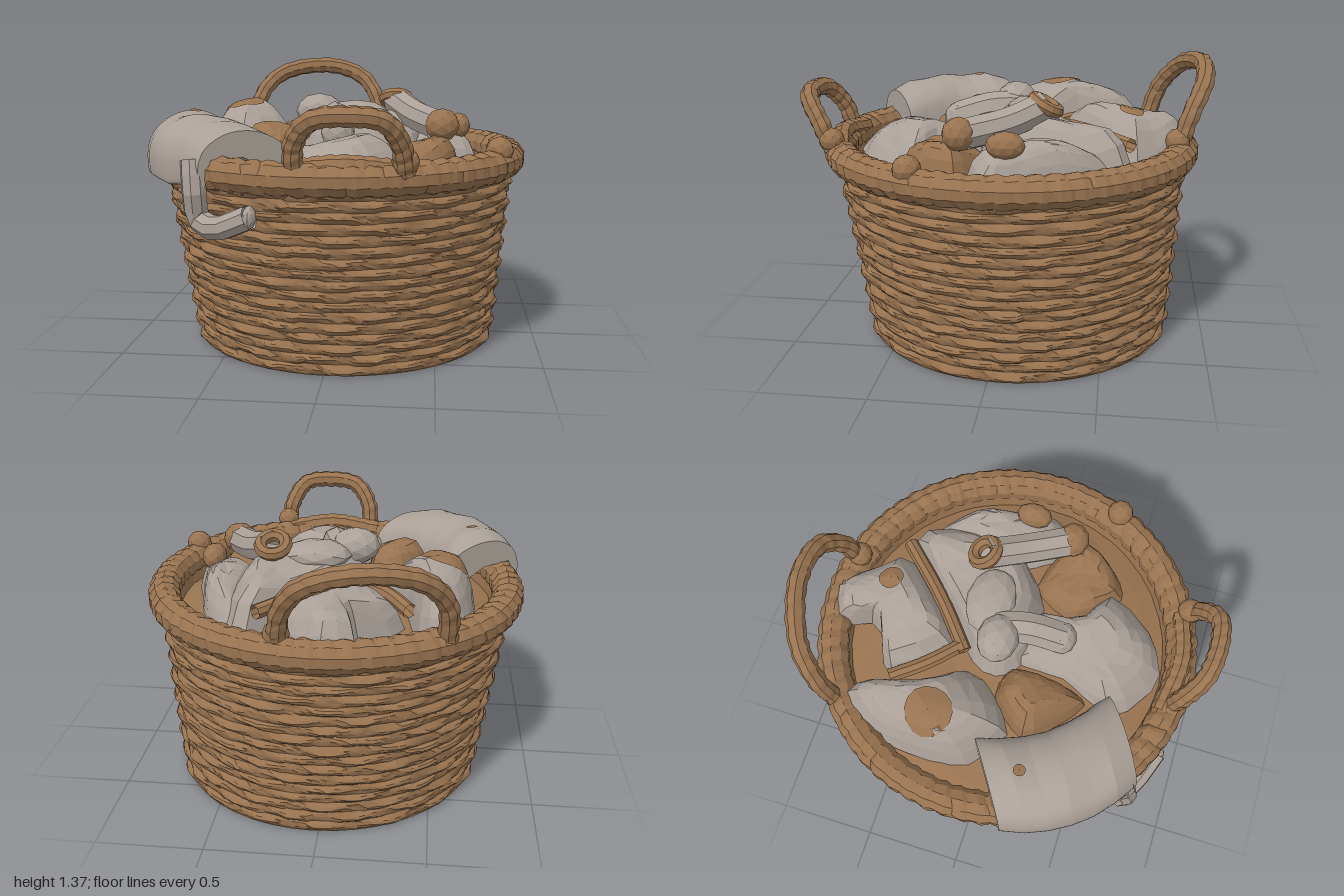
import * as THREE from 'three';
import { ParametricGeometry } from 'three/addons/geometries/ParametricGeometry.js';

const V = (x, y, z) => new THREE.Vector3(x, y, z);
const hash = (a, b) => { const s = Math.sin(a * 127.1 + b * 311.7) * 43758.5453; return s - Math.floor(s) - 0.5; };

export function createModel() {
  const model = new THREE.Group();
  const wicker = new THREE.MeshStandardMaterial({ color: 0x987350, flatShading: true, side: THREE.DoubleSide });
  const cloth = new THREE.MeshStandardMaterial({ color: 0xaaa098, flatShading: true, side: THREE.DoubleSide });
  wicker.name = 'wicker brown';
  cloth.name = 'cloth grey';

  const add = (name, geometry, material) => {
    const mesh = new THREE.Mesh(geometry, material);
    mesh.name = name;
    model.add(mesh);
    return mesh;
  };

  // Tube with shallow ridges like wound cane
  const woundTube = (points, seg, r, sides, wraps, closed = false) => {
    const curve = new THREE.CatmullRomCurve3(points, closed);
    const g = new THREE.TubeGeometry(curve, seg, r, sides, closed);
    const p = g.attributes.position, v = V(0, 0, 0);
    for (let i = 0; i < p.count; i++) {
      const ring = Math.floor(i / (sides + 1)), side = i % (sides + 1);
      const c = curve.getPointAt(closed ? (ring % seg) / seg : ring / seg);
      const phase = (ring / seg) * wraps * Math.PI + (side / sides) * Math.PI;
      const k = 0.9 + 0.12 * Math.abs(Math.sin(phase)) + 0.07 * hash(ring % seg, side % sides);
      v.fromBufferAttribute(p, i).sub(c).multiplyScalar(k).add(c);
      p.setXYZ(i, v.x, v.y, v.z);
    }
    g.computeVertexNormals();
    return g;
  };

  // Softly folded mound over an outline of [x, z] points
  const mound = (name, outline, base, top, material, rough = 0.02) => {
    const pts = outline.map(([x, z]) => new THREE.Vector2(x, -z));
    if (THREE.ShapeUtils.area(pts) < 0) pts.reverse();
    const curve = new THREE.CatmullRomCurve3(pts.map(p => V(p.x, 0, -p.y)), true, 'catmullrom', 0.35);
    const mid = pts.reduce((m, p) => m.add(V(p.x, 0, -p.y)), V(0, 0, 0)).divideScalar(pts.length);
    const n = 18, rings = 5;
    const g = new ParametricGeometry((u, v, out) => {
      const j = Math.round(u * n) % n, i = Math.round(v * rings);
      const t = Math.pow(1 - v, 0.6);
      out.copy(curve.getPoint(j / n)).sub(mid).multiplyScalar(t).add(mid);
      out.y = base + (top - base) * (1 - Math.pow(t, 5));
      if (i > 0) out.y += rough * (Math.sin(out.x * 15 + top * 30) + Math.cos(out.z * 13 + out.x * 6));
      if (i > 0 && i < rings) out.y += rough * t * hash(j + top * 10, i);
    }, n, rings);
    return add(name, g, material);
  };

  // Round patch laid on a surface
  const patch = (name, mesh, x, z, r) => {
    const g = new THREE.RingGeometry(0.001, r, 14, 4).rotateX(-Math.PI / 2).translate(x, 0, z);
    const p = g.attributes.position, ray = new THREE.Raycaster();
    mesh.updateMatrixWorld();
    for (let i = 0; i < p.count; i++) {
      ray.set(V(p.getX(i), 3, p.getZ(i)), V(0, -1, 0));
      const hit = ray.intersectObject(mesh)[0];
      p.setY(i, hit ? hit.point.y + 0.008 : 1);
    }
    g.computeVertexNormals();
    add(name, g, wicker);
  };

  // Woven wall: bulging rows passing alternately over and under the stakes
  const stakes = 32, around = 160, rows = 17, up = rows * 4;
  const wall = new ParametricGeometry((u, v, out) => {
    const j = Math.round(u * around) % around, i = Math.round(v * up);
    const a = (j / around) * Math.PI * 2, row = Math.floor(i / 4);
    const bulge = Math.sin(((i % 4) / 4) * Math.PI);
    const over = Math.sin((j / around) * stakes * Math.PI + row * Math.PI + 0.4);
    const r = 0.746 + 0.105 * v + bulge * (0.015 + 0.011 * over) + 0.006 * hash(j, i);
    const y = 0.88 * v + (i > 0 ? 0.012 * hash(j >> 2, row) : 0);
    out.set(0.03 * (1 - v) + r * Math.sin(a), y, -0.06 + 0.045 * v + r * Math.cos(a));
  }, around, up);
  add('wovenWall', wall, wicker);
  add('basketBottom', new THREE.CircleGeometry(0.755, 48).rotateX(Math.PI / 2).translate(0.03, 0.002, -0.06), wicker);
  add('innerWall', new THREE.LatheGeometry([[0.74, 0.76], [0.77, 0.84], [0.8, 0.97]].map(p => new THREE.Vector2(...p)), 40)
    .translate(0, 0, -0.015), wicker);

  // Wound rim
  const circle = (r, y, n) => Array.from({ length: n }, (_, i) =>
    V(r * Math.sin(i / n * Math.PI * 2), y, -0.015 + r * Math.cos(i / n * Math.PI * 2)));
  add('rim', woundTube(circle(0.848, 0.92, 24), 288, 0.078, 10, 64, true), wicker);
  add('rimCoil', woundTube([V(-0.16, 0.95, 0.79), V(0.1, 0.98, 0.82), V(0.36, 0.95, 0.76)], 36, 0.05, 8, 9), wicker);
  add('rimKnot', new THREE.IcosahedronGeometry(0.065, 1).translate(0.78, 0.99, 0.34), wicker);

  // Arched handles, each leaning outwards
  const handles = {
    backHandle: [[-0.55, 0.95, -0.7], [-0.54, 1.13, -0.76], [-0.43, 1.27, -0.86], [-0.17, 1.32, -0.95],
      [0.04, 1.26, -0.95], [0.14, 1.13, -0.89], [0.17, 0.95, -0.83]],
    frontHandle: [[-0.11, 0.95, 0.83], [-0.1, 1.08, 0.87], [-0.02, 1.18, 0.93], [0.13, 1.2, 0.95],
      [0.27, 1.18, 0.93], [0.34, 1.08, 0.86], [0.36, 0.95, 0.8]],
  };
  for (const [name, pts] of Object.entries(handles)) {
    add(name, woundTube(pts.map(p => V(...p)), 60, 0.046, 8, 15), wicker);
    const [x, , z] = pts[6];
    add(name + 'Knot', new THREE.IcosahedronGeometry(0.06, 1).translate(x, 1.0, z), wicker);
  }

  // Heap of laundry
  mound('heapBase', circle(0.79, 0, 12).map(p => [p.x, p.z]), 0.84, 0.91, wicker, 0.006);
  const leftCloth = mound('leftCloth', [[-0.69, -0.2], [-0.66, -0.5], [-0.53, -0.68], [-0.42, -0.6], [-0.35, -0.32],
    [-0.2, -0.1], [-0.45, 0.15], [-0.66, 0]], 0.86, 1.13, cloth);
  patch('leftClothOpening', leftCloth, -0.53, -0.22, 0.11);
  const backCloth = mound('backCloth', [[-0.37, -0.5], [-0.12, -0.64], [-0.18, -0.84], [-0.02, -0.9], [0.12, -0.81],
    [0.27, -0.6], [0.02, -0.33], [-0.15, -0.21]], 0.88, 1.1, cloth);
  patch('backClothSpot', backCloth, 0.05, -0.61, 0.06);
  mound('middleCloth', [[0.37, -0.64], [0.5, -0.42], [0.42, -0.05], [0.2, 0.13], [-0.1, 0.12],
    [-0.22, 0.02], [-0.2, -0.12], [0.08, -0.38]], 0.87, 1.12, cloth);
  mound('frontCloth', [[-0.12, 0.0], [0.15, 0.05], [0.2, 0.3], [0.38, 0.42], [0.22, 0.66], [0, 0.75], [-0.24, 0.58],
    [-0.14, 0.3]], 0.88, 1.03, cloth);
  mound('rightCloth', [[0.4, -0.55], [0.57, -0.42], [0.66, -0.12], [0.7, 0.06], [0.5, 0.14], [0.35, -0.05]], 0.86, 1.04, cloth);
  mound('leftBrownCloth', [[-0.48, 0.22], [-0.33, 0.02], [-0.16, 0.04], [-0.14, 0.28], [-0.22, 0.45]], 0.87, 1.06, wicker);
  mound('rightBrownCloth', [[0.17, 0.25], [0.3, 0.02], [0.6, 0.16], [0.52, 0.38], [0.36, 0.48]], 0.87, 1.02, wicker);
  const tube = (name, pts, r, mat) =>
    add(name, new THREE.TubeGeometry(new THREE.CatmullRomCurve3(pts.map(p => V(...p))), 8, r, 8), mat);
  tube('brownBandLeft', [[-0.38, 0.98, -0.48], [-0.27, 1.0, -0.33], [-0.12, 0.99, -0.19]], 0.035, wicker);
  tube('brownBandRight', [[-0.16, 0.99, -0.18], [0.05, 1.02, -0.36], [0.3, 1.0, -0.61]], 0.035, wicker);

  // Bunched folds on the middle cloth
  const lump = (name, x, y, z, sx, sy, sz, mat) =>
    add(name, new THREE.IcosahedronGeometry(1, 1).scale(sx, sy, sz).translate(x, y, z), mat);
  lump('foldTop', -0.1, 1.13, -0.03, 0.12, 0.09, 0.1, cloth);
  lump('foldRidge', 0.08, 1.11, -0.12, 0.17, 0.07, 0.12, cloth);
  tube('foldArm', [[-0.04, 1.1, -0.06], [0.0, 1.1, 0.08], [0.02, 1.05, 0.25]], 0.08, cloth);
  lump('foldArmEnd', 0.02, 1.05, 0.25, 0.08, 0.08, 0.07, cloth);

  // Rolled sleeve with brown cuff and end
  tube('sleeve', [[0.28, 1.17, -0.2], [0.39, 1.11, -0.04], [0.5, 1.08, 0.14]], 0.075, cloth);
  add('sleeveCuff', new THREE.TorusGeometry(0.062, 0.032, 7, 14).rotateX(Math.PI / 2 - 0.5)
    .translate(0.28, 1.18, -0.21), wicker);
  lump('sleeveEnd', 0.515, 1.085, 0.16, 0.085, 0.08, 0.08, wicker);
  lump('smallKnot', 0.6, 1.06, -0.06, 0.06, 0.065, 0.09, wicker);

  // Towel draped over the rim: a bent section swept along the rim
  const section = new THREE.Shape();
  section.moveTo(0.93, 0.86);
  section.splineThru([[0.955, 0.88], [0.955, 0.99], [0.91, 1.08], [0.8, 1.14], [0.66, 1.135], [0.55, 1.06], [0.5, 0.9]]
    .map(p => new THREE.Vector2(...p)));
  section.lineTo(0.56, 0.9);
  section.lineTo(0.75, 1.0);
  section.lineTo(0.9, 1.0);
  section.closePath();
  const towelGeo = new THREE.ExtrudeGeometry(section, { depth: 0.66, steps: 6, curveSegments: 12, bevelEnabled: false });
  const tp = towelGeo.attributes.position;
  for (let i = 0; i < tp.count; i++) {
    const t = 0.36 - tp.getZ(i), s = tp.getX(i) - 0.72 * t * t;
    const drop = 0.4 * Math.max(0, Math.abs(t) - 0.24) * Math.max(0, tp.getY(i) - 0.9) / 0.24;
    tp.setXYZ(i, -0.84 * s + 0.54 * t, tp.getY(i) - drop + 0.008 * Math.sin(t * 22 + s * 9), 0.54 * s + 0.84 * t);
  }
  towelGeo.computeVertexNormals();
  const towel = add('drapedTowel', towelGeo, cloth);
  patch('towelSpot', towel, -0.67, 0.25, 0.028);

  // Hanging corner of the towel, curling up along the wall
  tube('towelCorner', [[-0.57, 0.98, 0.71], [-0.56, 0.85, 0.74], [-0.55, 0.72, 0.71], [-0.46, 0.69, 0.77],
    [-0.3, 0.755, 0.83]], 0.055, cloth);
  lump('towelCornerEnd', -0.3, 0.755, 0.83, 0.03, 0.052, 0.045, cloth);
  return model;
}
